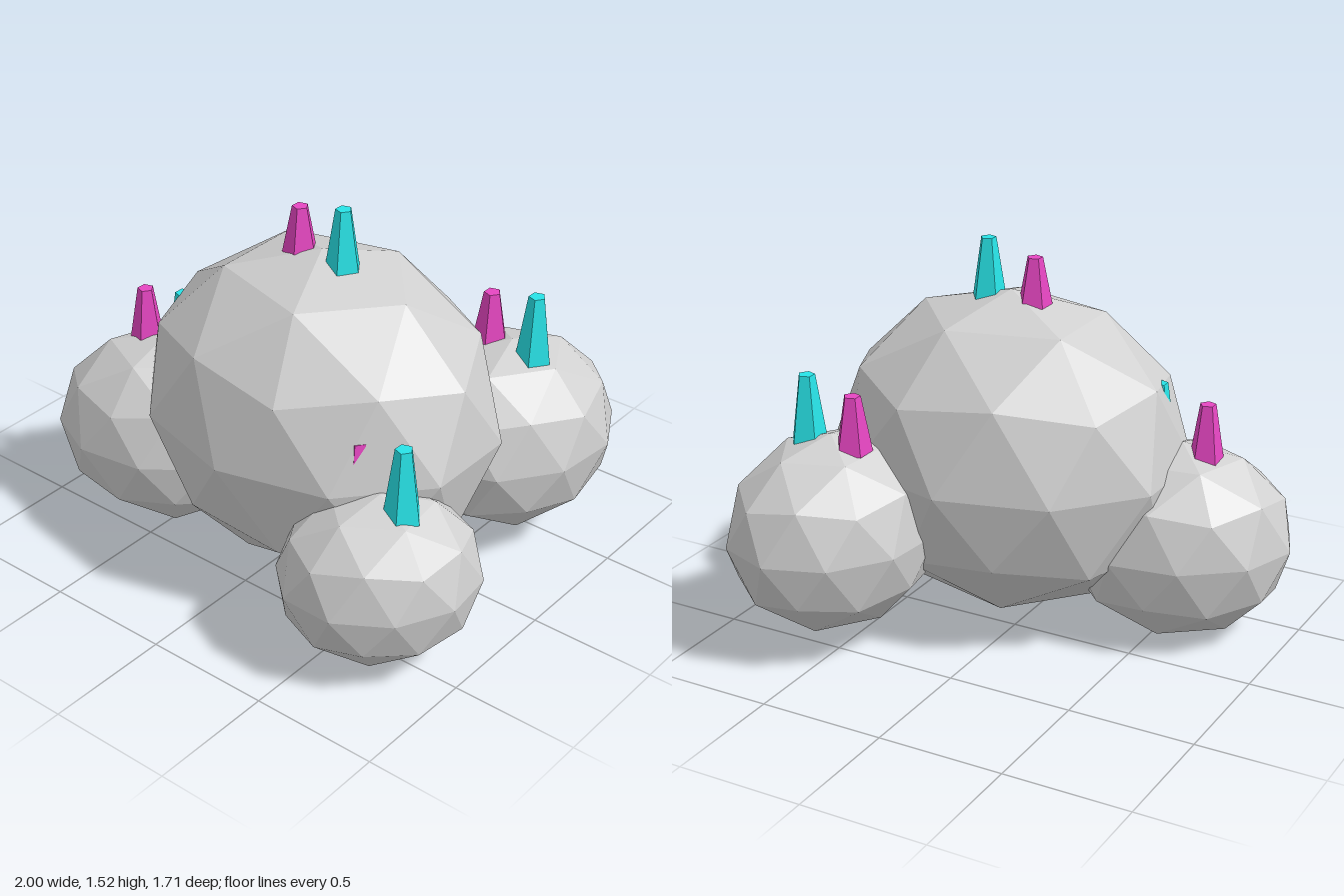
import * as THREE from 'three';

const mat = (name, color) => {
  const m = new THREE.MeshStandardMaterial({ color, flatShading: true });
  m.name = name;
  return m;
};

export function createModel() {
  const group = new THREE.Group();
  group.name = 'crystalRocks';
  const stone = mat('stone grey', 0xd0d0d0);
  const cyan = mat('crystal cyan', 0x2aeef2);
  const magenta = mat('crystal magenta', 0xe646c2);

  // Faceted boulder with a corner at the top pole and one leaning to +x
  const rockGeo = new THREE.IcosahedronGeometry(1, 1);
  rockGeo.rotateZ(-Math.atan(2 / (1 + Math.sqrt(5))));

  // Five-sided tapered crystal standing on its base, one edge facing +x
  const crystal = (name, material, x, z, base, top, r) => {
    const geo = new THREE.CylinderGeometry(r * 0.45, r, top - base, 5);
    geo.rotateY(Math.PI / 2);
    const mesh = new THREE.Mesh(geo, material);
    mesh.name = name;
    mesh.position.set(x, (base + top) / 2, z);
    group.add(mesh);
  };

  // Boulders: centre, radii, turn in degrees; crystal base, cyan tip, crystal radius
  const boulders = [
    { name: 'main', c: [0.1, 0.687, 0.155], r: [0.7255, 0.643, 0.605], turn: 0, base: 1.284, tip: 1.52, cr: 0.068 },
    { name: 'right', c: [-0.567, 0.393, 0.29], r: [0.446, 0.395, 0.36], turn: 203, base: 0.725, tip: 1.008, cr: 0.07 },
    { name: 'left', c: [0.657, 0.356, 0.515], r: [0.379, 0.34, 0.322], turn: 47.8, base: 0.638, tip: 0.925, cr: 0.073 },
    { name: 'back', c: [0.552, 0.466, -0.428], r: [0.437, 0.392, 0.371], turn: 69.5, base: 0.803, tip: 1.075, cr: 0.073 },
  ];
  for (const b of boulders) {
    const rock = new THREE.Mesh(rockGeo, stone);
    rock.name = b.name + 'Boulder';
    rock.position.set(...b.c);
    rock.scale.set(...b.r);
    rock.rotation.y = THREE.MathUtils.degToRad(b.turn);
    group.add(rock);

    // A taller cyan crystal beside a shorter magenta one
    crystal(b.name + 'CyanCrystal', cyan, b.c[0] + 0.1, b.c[2], b.base, b.tip, b.cr);
    crystal(b.name + 'MagentaCrystal', magenta, b.c[0] - 0.1, b.c[2], b.base, b.tip - 0.05, b.cr);
  }
  return group;
}
